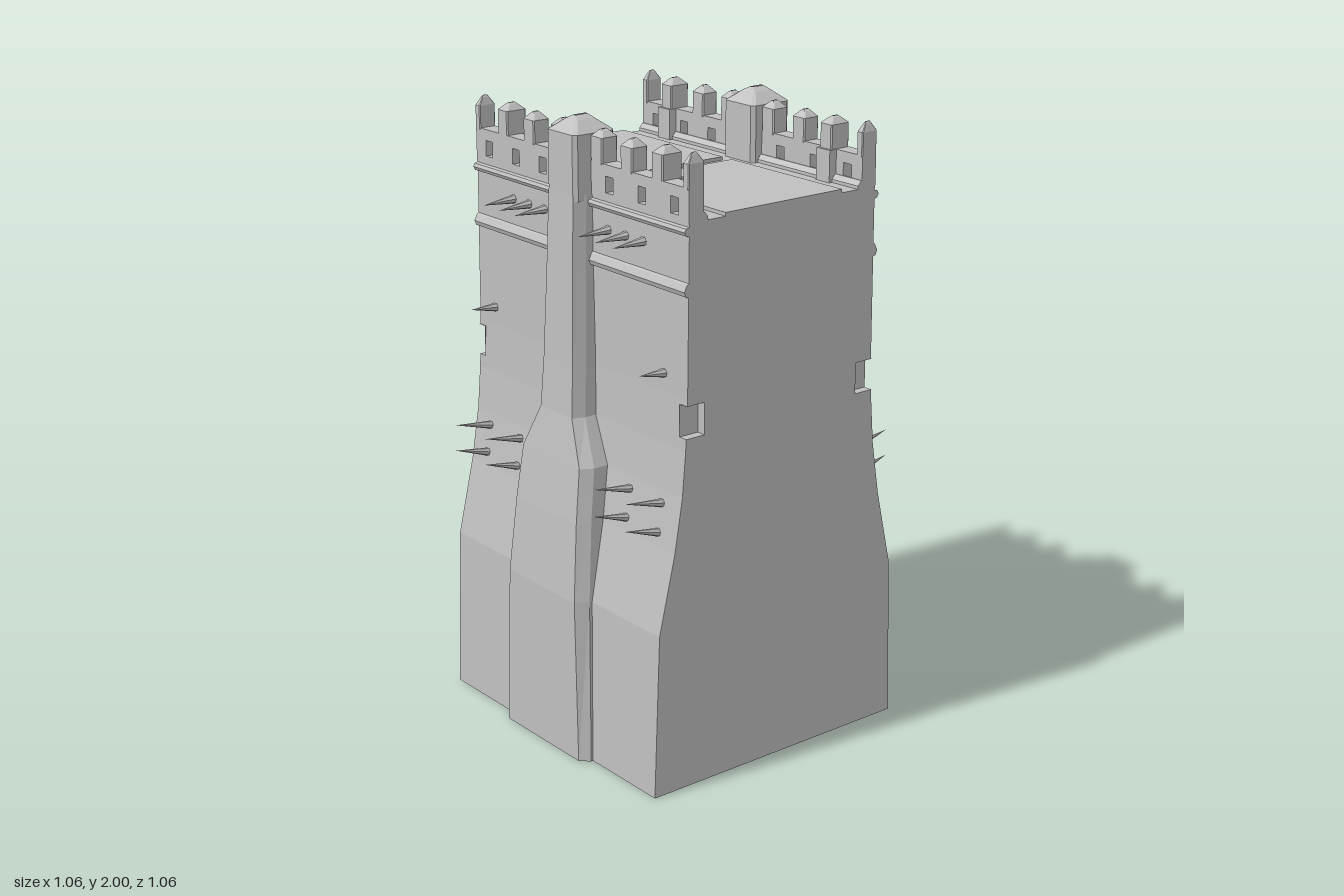
import * as THREE from 'three';

const stone = new THREE.MeshStandardMaterial({ color: 0xbfbfbf, side: THREE.DoubleSide, flatShading: true });
stone.name = 'stone';

const END = 0.53, DECK = 1.775;

// Levels of the battered wall: y, wall z, buttress half width, buttress front z
const LEVELS = [
  [0, 0.487, 0.217, 0.523], [0.53, 0.468, 0.197, 0.518], [0.78, 0.41, 0.18, 0.495],
  [0.95, 0.382, 0.168, 0.473], [1.09, 0.37, 0.095, 0.45], [1.25, 0.363, 0.088, 0.44],
  [1.56, 0.36, 0.078, 0.428], [DECK, 0.358, 0.074, 0.42],
];
const NOTCH = { y0: 1.13, y1: 1.23, x: 0.5, z: 0.3 };

function at(y, k) {
  const i = Math.max(1, LEVELS.findIndex(l => l[0] >= y));
  const a = LEVELS[i - 1], b = LEVELS[i];
  return a[k] + (b[k] - a[k]) * (y - a[0]) / (b[0] - a[0]);
}

function add(group, name, geometry, x = 0, y = 0, z = 0) {
  const mesh = new THREE.Mesh(geometry, stone);
  mesh.name = name;
  mesh.position.set(x, y, z);
  group.add(mesh);
  return mesh;
}

// Surface through rows of points, rows going up and points running towards +x on the front
function loft(rows, closed = false) {
  const pos = [], n = rows[0].length;
  for (let r = 0; r < rows.length - 1; r++) {
    for (let i = 0; i < (closed ? n : n - 1); i++) {
      const j = (i + 1) % n;
      const a = rows[r][i], b = rows[r][j], c = rows[r + 1][i], d = rows[r + 1][j];
      pos.push(...a, ...b, ...d, ...a, ...d, ...c);
    }
  }
  const g = new THREE.BufferGeometry();
  g.setAttribute('position', new THREE.Float32BufferAttribute(pos, 3));
  g.computeVertexNormals();
  return g;
}

// Rectangle ring with cut corners, counter-clockwise from above
function ring(y, w, z0, z1, c) {
  return [[-w, z0 + c], [-w, z1 - c], [-w + c, z1], [w - c, z1], [w, z1 - c], [w, z0 + c], [w - c, z0], [-w + c, z0]]
    .map(([x, z]) => [x, y, z]);
}

// Block with a bevelled, hipped top
function hipped(w, z0, z1, y0, yEdge, yTop, c) {
  const m = (z0 + z1) / 2, d = (z1 - z0) / 2;
  return loft([ring(y0, w, z0, z1, c), ring(yEdge, w, z0, z1, c),
    ring(yTop - 0.25 * (yTop - yEdge), w * 0.4, m - d * 0.45, m + d * 0.45, c * 0.4),
    ring(yTop, w * 0.08, m - d * 0.3, m + d * 0.3, 0.001)], true);
}

// Moulding with a z-y profile running along x
function moulding(profile, x0, x1) {
  const shape = new THREE.Shape(profile.map(([z, y]) => new THREE.Vector2(-z, y)));
  return new THREE.ExtrudeGeometry(shape, { depth: x1 - x0, bevelEnabled: false })
    .rotateY(Math.PI / 2).translate(x0, 0, 0);
}

function spike(group, x, y, length, tilt, radius) {
  const g = new THREE.ConeGeometry(radius, length, 7).translate(0, length / 2, 0).rotateX(Math.PI / 2 - tilt);
  add(group, 'spike', g, x, y, at(y, 1) - 0.006);
}

// One defended face; s = -1 swaps left and right for the turned copy
function createFace(s) {
  const face = new THREE.Group();
  const ys = LEVELS.map(l => [l[0], END]);
  const { y0, y1, x: nx, z: nz } = NOTCH;
  ys.splice(5, 0, [y0, END], [y0, nx], [y1, nx], [y1, END]);

  // Battered wall on both sides of the buttress
  add(face, 'wallLeft', loft(ys.map(([y, e]) => [[at(y, 2), y, at(y, 1)], [e, y, at(y, 1)]])));
  add(face, 'wallRight', loft(ys.map(([y, e]) => [[-e, y, at(y, 1)], [-at(y, 2), y, at(y, 1)]])));

  // Slots at the wall ends
  for (const k of [-1, 1]) {
    const d = at(y0, 1) - nz, w = END - nx, h = y1 - y0;
    const x = k * (nx + w / 2), y = (y0 + y1) / 2;
    add(face, 'slotBack', new THREE.PlaneGeometry(w, h), x, y, nz);
    add(face, 'slotSide', new THREE.PlaneGeometry(d, h).rotateY(k * Math.PI / 2), k * nx, y, nz + d / 2);
    add(face, 'slotSill', new THREE.PlaneGeometry(w, d).rotateX(-Math.PI / 2), x, y0, nz + d / 2);
    add(face, 'slotLintel', new THREE.PlaneGeometry(w, d).rotateX(Math.PI / 2), x, y1, nz + d / 2);
  }

  // Tapering buttress with bevelled front corners, and its capped pier
  add(face, 'buttress', loft(LEVELS.map(([y, z, w, f]) => {
    const c = w * 0.1 + 0.005, q = Math.min(0.04, (f - z) * 0.8);
    return [[-w, y, z], [-w, y, f - q], [-w + c, y, f], [w - c, y, f], [w, y, f - q], [w, y, z]];
  })));
  add(face, 'pier', hipped(0.072, 0.268, 0.42, DECK - 0.02, 1.955, 2, 0.012));

  // Parapet with square loopholes
  const wall = new THREE.Shape([[-END, DECK - 0.005], [END, DECK - 0.005], [END, 1.875], [-END, 1.875]]
    .map(p => new THREE.Vector2(...p)));
  for (const x of [-0.46, -0.315, -0.175, 0.16, 0.315, 0.465]) {
    wall.holes.push(new THREE.Path([[-1, -1], [-1, 1], [1, 1], [1, -1]]
      .map(([a, b]) => new THREE.Vector2(s * x + a * 0.018, 1.815 + b * 0.025))));
  }
  add(face, 'parapet', new THREE.ExtrudeGeometry(wall, { depth: 0.055, bevelEnabled: false }), 0, 0, 0.305);

  for (const k of [-1, 1]) {
    // Merlons, the middle one deeper and carried down to the deck
    add(face, 'merlon', hipped(0.028, 0.303, 0.362, 1.87, 1.95, 1.972, 0.004), k * 0.1);
    add(face, 'merlon', hipped(0.028, 0.303, 0.362, 1.87, 1.945, 1.968, 0.004), k * 0.243);
    add(face, 'deepMerlon', hipped(0.026, 0.287, 0.36, 1.86, 1.95, 1.972, 0.004), k * 0.385);
    add(face, 'merlonBracket', new THREE.BoxGeometry(0.06, 0.1, 0.03), k * 0.385, 1.825, 0.293);
    add(face, 'endMerlon', hipped(0.0125, 0.303, 0.362, 1.87, 1.945, 1.975, 0.003), k * 0.5175);

    // String courses and inner kerb
    const [a, b] = k > 0 ? [0.07, END] : [-END, -0.07];
    add(face, 'upperCourse', moulding([[0.35, 1.735], [0.368, 1.738], [0.375, 1.75], [0.37, 1.76], [0.35, 1.765]], a, b));
    add(face, 'lowerCourse', moulding([[0.35, 1.553], [0.37, 1.56], [0.376, 1.575], [0.366, 1.595], [0.35, 1.605]], a, b));
    add(face, 'kerb', moulding([[0.31, 1.77], [0.31, 1.8], [0.302, 1.8], [0.29, 1.785], [0.29, 1.77]], a, b));
  }

  // Spikes
  for (const x of [-0.333, -0.25, -0.168, 0.153, 0.237, 0.32]) spike(face, s * x, 1.68, 0.12, -0.03, 0.015);
  for (const x of [-0.443, 0.42]) spike(face, s * x, 1.305, 0.1, 0.08, 0.015);
  for (const x of [-0.45, -0.282, 0.288, 0.441]) {
    spike(face, s * x, 0.91, 0.145, 0.2, 0.014);
    spike(face, s * x, 0.82, 0.135, 0.25, 0.014);
  }
  return face;
}

export function createModel() {
  const model = new THREE.Group();
  model.name = 'fortifiedWall';

  for (const s of [1, -1]) {
    const face = createFace(s);
    face.name = s > 0 ? 'frontFace' : 'backFace';
    if (s < 0) face.rotation.y = Math.PI;
    model.add(face);
  }

  // Flat ends, following the batter and the slots
  const { y0, y1, z } = NOTCH;
  const half = LEVELS.map(l => [l[1], l[0]]);
  half.splice(5, 0, [at(y0, 1), y0], [z, y0], [z, y1], [at(y1, 1), y1]);
  const outline = [...half, ...half.map(([a, y]) => [-a, y]).reverse()];
  const endShape = new THREE.Shape(outline.map(p => new THREE.Vector2(...p)));
  for (const k of [-1, 1]) {
    add(model, k > 0 ? 'leftEnd' : 'rightEnd', new THREE.ShapeGeometry(endShape).rotateY(k * Math.PI / 2), k * END);
  }

  // Deck and its two raised slabs
  add(model, 'deck', new THREE.PlaneGeometry(2 * END, 0.716).rotateX(-Math.PI / 2), 0, DECK, 0);
  for (const k of [-1, 1]) {
    add(model, 'deckSlab', new THREE.BoxGeometry(END - 0.023, 0.012, 0.45), k * (END + 0.023) / 2, DECK + 0.005, 0);
  }
  return model;
}
